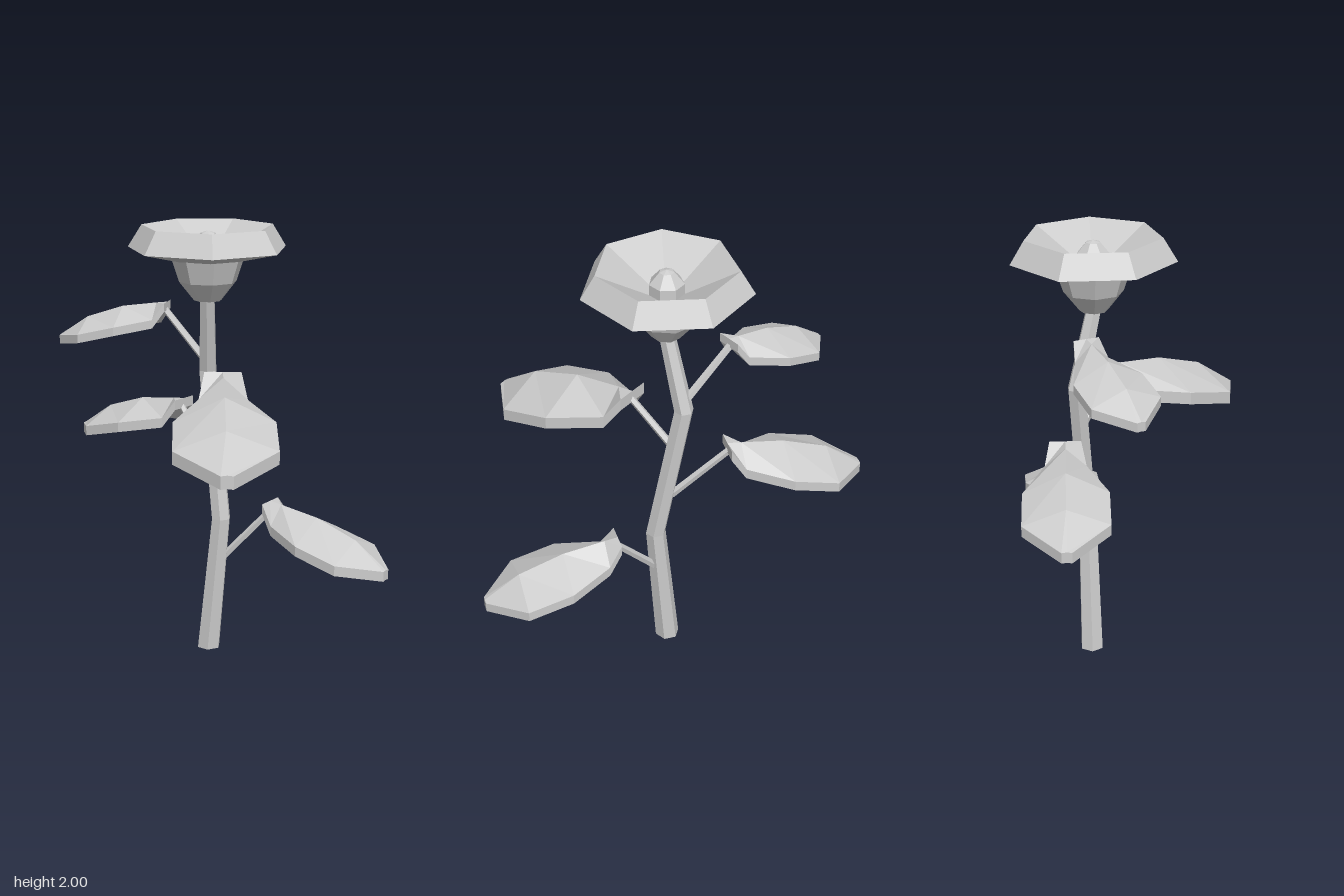
import * as THREE from 'three';

const material = new THREE.MeshStandardMaterial({ color: 0xcccccc, flatShading: true });
const V = (x, y, z) => new THREE.Vector3(x, y, z);

function addMesh(parent, name, geometry) {
  const mesh = new THREE.Mesh(geometry, material);
  mesh.name = name;
  parent.add(mesh);
  return mesh;
}

// Faceted solid turned around the vertical axis, with a corner on +x
function turned(profile, sides) {
  const points = profile.map(([r, y]) => new THREE.Vector2(r, y));
  return new THREE.LatheGeometry(points, sides, Math.PI / 2);
}

// Six-sided stem: a cylinder whose rings follow the bends [x, y, z, radius]
function stemGeometry(rings) {
  const n = rings.length - 1;
  const geometry = new THREE.CylinderGeometry(1, 1, 1, 6, n, false, Math.PI / 2);
  const p = geometry.attributes.position;
  for (let i = 0; i < p.count; i++) {
    const [x, y, z, r] = rings[Math.round((p.getY(i) + 0.5) * n)];
    p.setXYZ(i, x + p.getX(i) * r, y, z + p.getZ(i) * r);
  }
  geometry.computeVertexNormals();
  return geometry;
}

// Thin stalk between two points
function stalkGeometry(from, to) {
  const dir = to.clone().sub(from);
  const geometry = new THREE.CylinderGeometry(0.016, 0.018, dir.length(), 5);
  geometry.applyQuaternion(new THREE.Quaternion().setFromUnitVectors(V(0, 1, 0), dir.normalize()));
  const mid = from.clone().add(to).multiplyScalar(0.5);
  return geometry.translate(mid.x, mid.y, mid.z);
}

// Unit-long arched leaf plate along +x: [distance, half width, ridge y, edge y]
function leafGeometry() {
  const stations = [
    [0, 0.11, 0, 0],
    [0.1, 0.145, -0.012, -0.145],
    [0.41, 0.295, -0.055, -0.2],
    [0.74, 0.295, -0.165, -0.28],
    [1, 0.035, -0.34, -0.345],
  ];
  const thickness = 0.075;
  const top = stations.map(([x, w, ridge, edge]) => [V(x, edge, -w), V(x, ridge, 0), V(x, edge, w)]);
  const bottom = top.map((row) => row.map((v) => V(v.x, v.y - thickness, v.z)));
  const data = [];
  const quad = (a, b, c, d) => [a, b, c, a, c, d].forEach((v) => data.push(v.x, v.y, v.z));
  const last = stations.length - 1;
  for (let i = 0; i < last; i++) {
    for (let j = 0; j < 2; j++) {
      quad(top[i][j], top[i][j + 1], top[i + 1][j + 1], top[i + 1][j]);
      quad(bottom[i][j], bottom[i + 1][j], bottom[i + 1][j + 1], bottom[i][j + 1]);
    }
    quad(top[i][0], top[i + 1][0], bottom[i + 1][0], bottom[i][0]);
    quad(top[i + 1][2], top[i][2], bottom[i][2], bottom[i + 1][2]);
  }
  for (let j = 0; j < 2; j++) {
    quad(top[0][j + 1], top[0][j], bottom[0][j], bottom[0][j + 1]);
    quad(top[last][j], top[last][j + 1], bottom[last][j + 1], bottom[last][j]);
  }
  const geometry = new THREE.BufferGeometry();
  geometry.setAttribute('position', new THREE.Float32BufferAttribute(data, 3));
  geometry.computeVertexNormals();
  return geometry;
}

export function createModel() {
  const plant = new THREE.Group();
  plant.name = 'flowerPlant';

  addMesh(plant, 'stem', stemGeometry([
    [-0.015, 0, -0.18, 0.056],
    [0.045, 0.65, -0.19, 0.046],
    [-0.065, 1.33, -0.235, 0.043],
    [-0.01, 1.69, -0.152, 0.035],
  ]));

  // Flower head: cup, wide bowl of petals and a small centre
  const flower = new THREE.Group();
  flower.name = 'flower';
  flower.position.set(-0.01, 0, -0.155);
  plant.add(flower);
  addMesh(flower, 'cup', turned([[0, 1.67], [0.062, 1.67], [0.13, 1.755], [0.168, 1.87], [0, 1.87]], 8));
  addMesh(flower, 'petals', turned([[0, 1.855], [0.17, 1.855], [0.363, 1.9], [0.3, 2], [0.06, 1.865], [0, 1.865]], 7));
  addMesh(flower, 'flowerCentre', turned([[0.075, 1.86], [0.075, 1.92], [0.032, 1.97], [0, 1.98]], 7));

  // Leaves: stalk root, leaf base, and leaf tip as [x, z]
  const leaf = leafGeometry();
  const leaves = [
    ['lowerLeftLeaf', V(0.055, 0.46, -0.2), V(0.25, 0.745, -0.29), [0.86, -0.295]],
    ['lowerRightLeaf', V(-0.02, 0.87, -0.215), V(-0.245, 1.16, -0.295), [-0.865, -0.315]],
    ['frontLeaf', V(-0.03, 1.12, -0.22), V(0.12, 1.37, -0.09), [0.565, 0.515]],
    ['upperRightLeaf', V(-0.07, 1.37, -0.23), V(-0.27, 1.63, -0.2), [-0.755, -0.01]],
  ];
  for (const [name, root, base, [tipX, tipZ]] of leaves) {
    const dx = tipX - base.x, dz = tipZ - base.z;
    const length = Math.hypot(dx, dz);
    const end = V(base.x + dx * 0.03, base.y - 0.03, base.z + dz * 0.03);
    addMesh(plant, name + 'Stalk', stalkGeometry(root, end));
    const blade = addMesh(plant, name, leaf);
    blade.position.copy(base);
    blade.rotation.y = Math.atan2(-dz, dx);
    blade.scale.setScalar(length);
  }
  return plant;
}
